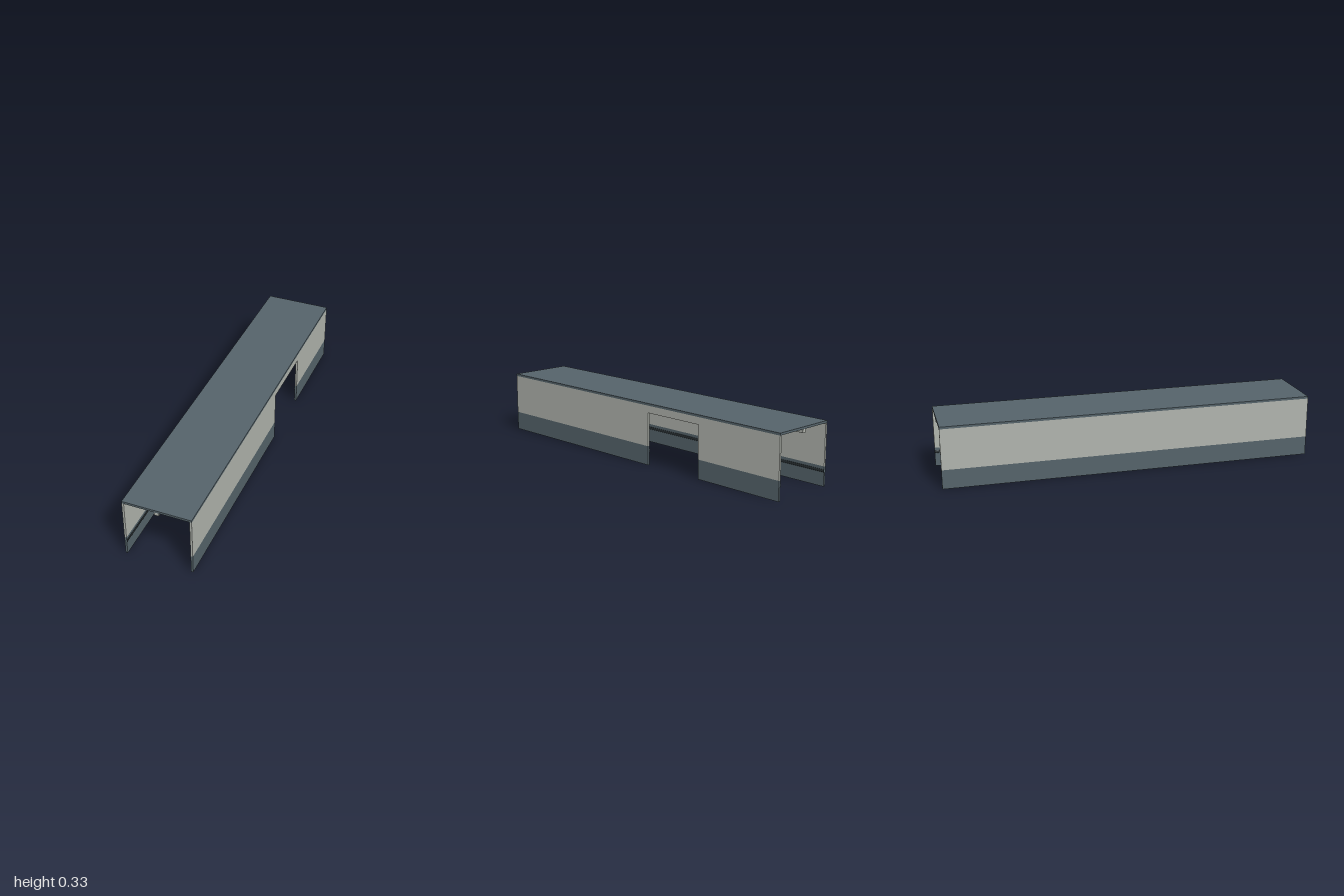
import * as THREE from 'three';
import { RoundedBoxGeometry } from 'three/addons/geometries/RoundedBoxGeometry.js';

export function createModel() {
  const model = new THREE.Group();
  model.name = 'corridor';

  const material = (name, color) => {
    const m = new THREE.MeshStandardMaterial({ color });
    m.name = name;
    return m;
  };
  const slate = material('slate', 0x55636a);
  const panel = material('pale panel', 0xb0b4ad);
  const rubber = material('dark rubber', 0x262d30);

  const add = (name, geometry, mat, x, y, z) => {
    const mesh = new THREE.Mesh(geometry, mat);
    mesh.name = name;
    mesh.position.set(x, y, z);
    model.add(mesh);
    return mesh;
  };

  const outer = 0.18, thick = 0.011;
  const dado = 0.103, ceiling = 0.322, top = 0.334;
  const wallX = outer - thick / 2;

  // Box given by its lower and upper edges in y and z
  const wallBox = (name, mat, side, y0, y1, z0, z1) =>
    add(name, new THREE.BoxGeometry(thick, y1 - y0, z1 - z0), mat,
      side * wallX, (y0 + y1) / 2, (z0 + z1) / 2);

  // Slim oval bumper rail on the inner face of a wall
  const rail = (side, z0, z1) => {
    const g = new THREE.CylinderGeometry(0.007, 0.007, z1 - z0, 12);
    g.rotateX(Math.PI / 2).scale(0.43, 1, 1);
    add('bumperRail', g, rubber, side * (outer - thick - 0.0005), 0.08, (z0 + z1) / 2);
  };

  // Roof slab
  add('roof', new THREE.BoxGeometry(outer * 2, top - ceiling, 2), slate, 0, (top + ceiling) / 2, 0);

  // Solid wall, panelled above the dado
  wallBox('rightWallBase', slate, -1, 0, dado, -1, 1);
  for (const [z0, z1] of [[-1, -0.6], [-0.6, -0.2], [-0.2, 1]])
    wallBox('rightWallPanel', panel, -1, dado, ceiling, z0, z1);
  rail(-1, -1, 1);

  // Wall with a doorway
  const doorBack = -0.48, doorFront = -0.12, doorTop = 0.283;
  for (const [z0, z1] of [[-1, doorBack], [doorFront, 1]]) {
    wallBox('leftWallBase', slate, 1, 0, dado, z0, z1);
    wallBox('leftWallPanel', panel, 1, dado, ceiling, z0, z1);
    rail(1, z0, z1);
  }
  wallBox('doorwayLintel', panel, 1, doorTop, ceiling, doorBack, doorFront);

  // Ceiling lamps, shortened at both ends
  for (const [z, length] of [[-0.965, 0.07], [-0.5, 0.14], [0, 0.14], [0.5, 0.14], [0.965, 0.07]])
    add('ceilingLamp', new RoundedBoxGeometry(0.024, 0.019, length, 2, 0.003), panel, 0, 0.313, z);

  return model;
}
